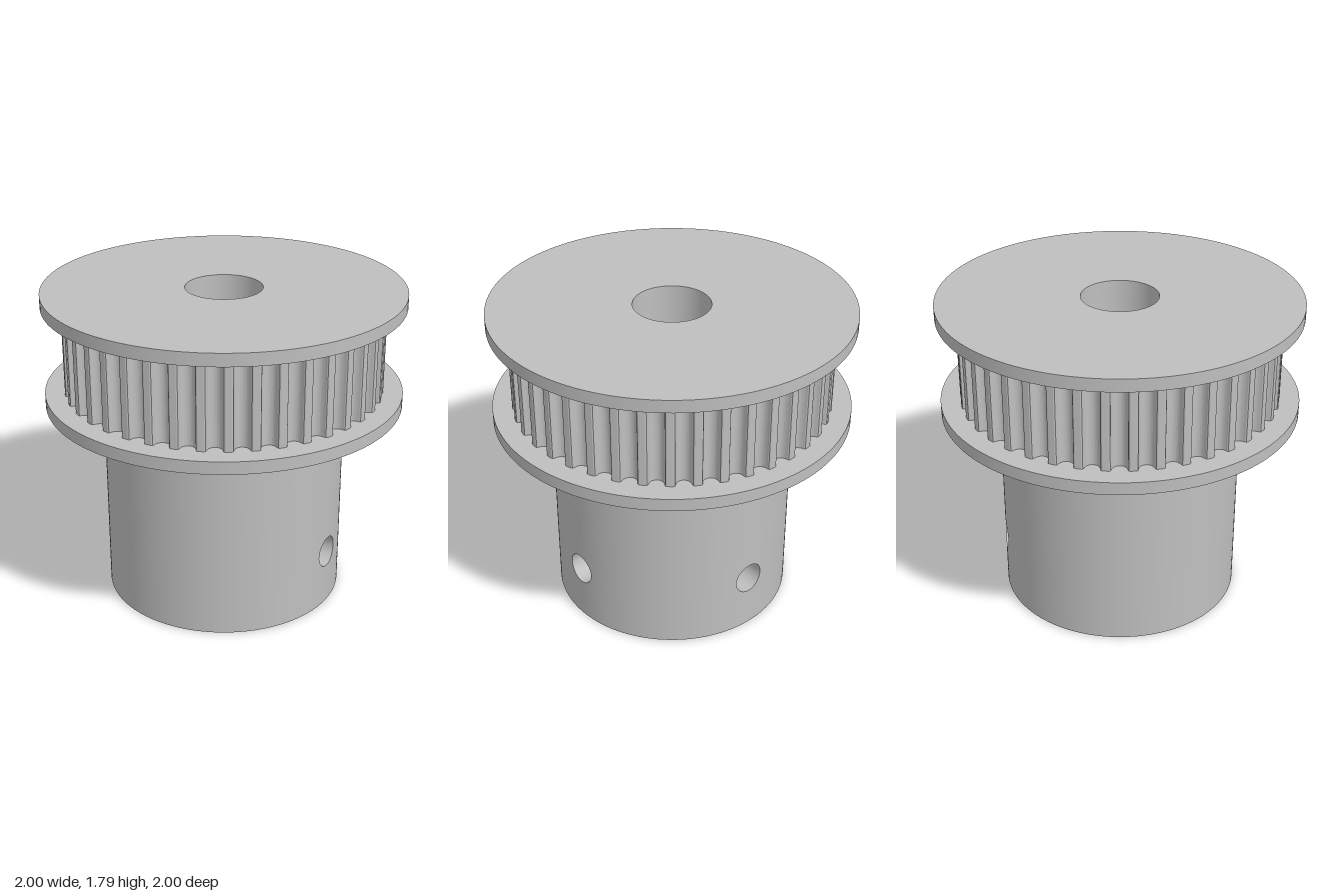
import * as THREE from 'three';
import { mergeGeometries } from 'three/addons/utils/BufferGeometryUtils.js';

const BORE = 0.214, HUB = 0.678, FLANGE = 1, TEETH_R = 0.891;
const HUB_TOP = 1.143, FLANGE_T = 0.071, TOP = 1.786;
const HOLE_R = 0.09, HOLE_Y = 0.323, HOLE_ANGLES = [Math.PI / 2, Math.PI]; // +x and -z
const TEETH = 40;

// Surface of revolution with a crisp edge at every profile point
function turned(points, start = 0, length = Math.PI * 2) {
  const bands = [];
  for (let i = 0; i + 1 < points.length; i++) {
    const pair = [points[i], points[i + 1]].map(([r, y]) => new THREE.Vector2(r, y));
    bands.push(new THREE.LatheGeometry(pair, Math.round(128 * length / (Math.PI * 2)), start, length));
  }
  return mergeGeometries(bands);
}

// Grid surface; f(s, t) gives { p, n } as position and normal
function surface(f, ns, nt, flip) {
  const pos = [], nor = [], index = [];
  for (let i = 0; i <= ns; i++) {
    for (let j = 0; j <= nt; j++) {
      const { p, n } = f(i / ns, (j / nt) * Math.PI * 2);
      pos.push(...p);
      nor.push(...n);
      if (i < ns && j < nt) {
        const a = i * (nt + 1) + j, b = a + nt + 1;
        if (flip) index.push(a, b + 1, b, a, a + 1, b + 1);
        else index.push(a, b, b + 1, a, b + 1, a + 1);
      }
    }
  }
  const g = new THREE.BufferGeometry();
  g.setAttribute('position', new THREE.Float32BufferAttribute(pos, 3));
  g.setAttribute('normal', new THREE.Float32BufferAttribute(nor, 3));
  g.setIndex(index);
  return g;
}

// Quarter of a cylinder wall pierced by a round screw hole
function piercedWall(R, height, angle, inward) {
  const sign = inward ? -1 : 1;
  return surface((s, t) => {
    const c = Math.cos(t), d = Math.sin(t), m = Math.max(Math.abs(c), Math.abs(d));
    const v = d / m;
    const edgeY = HOLE_Y + v * (v > 0 ? height - HOLE_Y : HOLE_Y);
    const a = angle + THREE.MathUtils.lerp(Math.asin(HOLE_R * c / R), (c / m) * Math.PI / 4, s);
    const y = THREE.MathUtils.lerp(HOLE_Y + HOLE_R * d, edgeY, s);
    return { p: [R * Math.sin(a), y, R * Math.cos(a)], n: [sign * Math.sin(a), 0, sign * Math.cos(a)] };
  }, 16, 96, inward);
}

// Radial tube running from the bore to the hub's outer wall
function screwHole(angle) {
  const g = surface((s, t) => {
    const u = HOLE_R * Math.cos(t), v = HOLE_R * Math.sin(t);
    const inner = Math.sqrt(BORE * BORE - u * u), outer = Math.sqrt(HUB * HUB - u * u);
    return { p: [u, HOLE_Y + v, THREE.MathUtils.lerp(inner, outer, s)], n: [-Math.cos(t), -Math.sin(t), 0] };
  }, 1, 96, true);
  // s runs along the axis, so pick the winding that faces the tube's centre
  const p = g.attributes.position, idx = g.index.array;
  const [A, B, C] = [0, 1, 2].map(k => new THREE.Vector3().fromBufferAttribute(p, idx[k]));
  const face = B.clone().sub(A).cross(C.clone().sub(A));
  if (face.dot(new THREE.Vector3(-A.x, HOLE_Y - A.y, 0)) < 0) {
    for (let i = 0; i < idx.length; i += 3) [idx[i + 1], idx[i + 2]] = [idx[i + 2], idx[i + 1]];
  }
  return g.rotateY(angle);
}

// Toothed ring outline: rounded grooves between narrow lands
function toothedRing() {
  const half = [[0.0535, 0], [0.0463, 0.0027], [0.0427, 0.0093], [0.0413, 0.017], [0.0391, 0.0245],
    [0.036, 0.0317], [0.0322, 0.0386], [0.0256, 0.0455], [0.0177, 0.0505], [0.009, 0.0536]];
  const groove = [...half.map(([w, d]) => [-w, d]), [0, 0.0546], ...half.slice().reverse()];
  const base = Math.sqrt(TEETH_R ** 2 - 0.0535 ** 2);
  const points = [];
  for (let i = 0; i < TEETH; i++) {
    const a = (i / TEETH) * Math.PI * 2, c = Math.cos(a), s = Math.sin(a);
    for (const [w, d] of groove) {
      const r = base - d;
      points.push(new THREE.Vector2(r * c - w * s, r * s + w * c));
    }
  }
  const shape = new THREE.Shape(points);
  shape.holes.push(new THREE.Path().absarc(0, 0, 0.5, 0, Math.PI * 2, true));
  const bottom = HUB_TOP + FLANGE_T, height = TOP - FLANGE_T - bottom;
  return new THREE.ExtrudeGeometry(shape, { depth: height, bevelEnabled: false, curveSegments: 24 })
    .rotateX(-Math.PI / 2).translate(0, bottom, 0);
}

export function createModel() {
  const model = new THREE.Group();
  model.name = 'timingPulley';
  const metal = new THREE.MeshStandardMaterial({ color: 0xbfbfbf });
  metal.name = 'greyMetal';
  const add = (name, geometry) => {
    const mesh = new THREE.Mesh(geometry, metal);
    mesh.name = name;
    model.add(mesh);
  };
  const restStart = Math.PI * 5 / 4;

  // Hub: pierced quarters, plain half and bottom face
  HOLE_ANGLES.forEach((angle, i) => {
    add('hubPiercedWall' + (i + 1), piercedWall(HUB, HUB_TOP, angle, false));
    add('borePiercedWall' + (i + 1), piercedWall(BORE, TOP, angle, true));
    add('screwHole' + (i + 1), screwHole(angle));
  });
  add('hubPlainWall', turned([[HUB, 0], [HUB, HUB_TOP]], restStart, Math.PI));
  add('borePlainWall', turned([[BORE, TOP], [BORE, 0]], restStart, Math.PI));
  add('hubBottom', turned([[BORE, 0], [HUB, 0]]));

  // Flanges above and below the teeth
  for (const [name, y, inner] of [['lowerFlange', HUB_TOP, HUB], ['upperFlange', TOP - FLANGE_T, BORE]]) {
    add(name, turned([[inner, y], [FLANGE, y], [FLANGE, y + FLANGE_T], [BORE, y + FLANGE_T]]));
  }

  add('toothedRing', toothedRing());
  return model;
}
